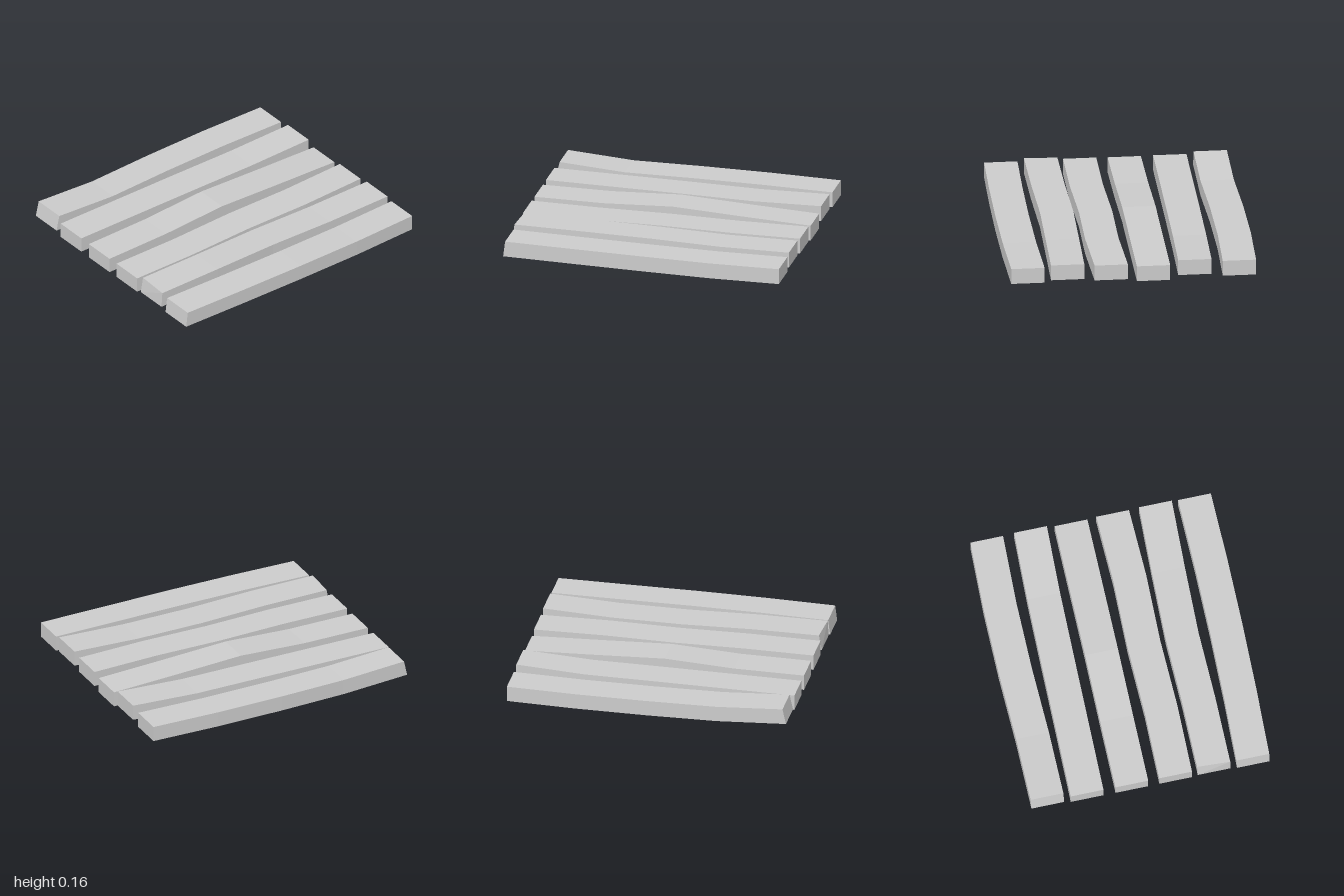
import * as THREE from 'three';

const WIDTH = 0.235, THICK = 0.112;
const STATIONS = [-1, -0.5, 0, 0.5, 1];

// Each plank: centre z and underside y at the five stations, and how far the
// top of the left-hand end leans inward (back corner, front corner).
const PLANKS = [
  { z: [-0.745, -0.745, -0.76, -0.762, -0.747], y: [0.046, 0.016, 0.016, 0.016, 0.016], lean: [0.025, 0.025] },
  { z: [-0.463, -0.458, -0.453, -0.447, -0.433], y: [0.018, 0.018, 0.018, 0.016, 0.034], lean: [0, 0] },
  { z: [-0.142, -0.142, -0.142, -0.142, -0.142], y: [0.016, 0.018, 0.043, 0.02, 0], lean: [0, 0] },
  { z: [0.172, 0.177, 0.163, 0.171, 0.156], y: [0.018, 0.018, 0.018, 0.018, 0.018], lean: [0, 0] },
  { z: [0.448, 0.448, 0.437, 0.448, 0.463], y: [0.037, 0.035, 0.026, 0.02, 0.032], lean: [0.02, 0.008] },
  { z: [0.729, 0.744, 0.752, 0.752, 0.743], y: [0.018, 0.018, 0.016, 0.013, 0.016], lean: [0.014, 0.014] },
];

// Bend a segmented box so it follows the plank's stations
function plankGeometry({ z, y, lean }) {
  const geo = new THREE.BoxGeometry(2, THICK, WIDTH, STATIONS.length - 1, 1, 1);
  const pos = geo.attributes.position;
  for (let i = 0; i < pos.count; i++) {
    const s = Math.round((pos.getX(i) + 1) * 2);
    const top = pos.getY(i) > 0, front = pos.getZ(i) > 0;
    const shift = s === 0 && top ? lean[front ? 1 : 0] : 0;
    pos.setXYZ(i, STATIONS[s] + shift, y[s] + (top ? THICK : 0), z[s] + pos.getZ(i));
  }
  const flat = geo.toNonIndexed();
  flat.computeVertexNormals();
  return flat;
}

export function createModel() {
  const group = new THREE.Group();
  group.name = 'plankFloor';
  const material = new THREE.MeshStandardMaterial({ color: 0xcccccc, flatShading: true });
  PLANKS.forEach((plank, i) => {
    const mesh = new THREE.Mesh(plankGeometry(plank), material);
    mesh.name = `plank${i + 1}`;
    group.add(mesh);
  });
  return group;
}
